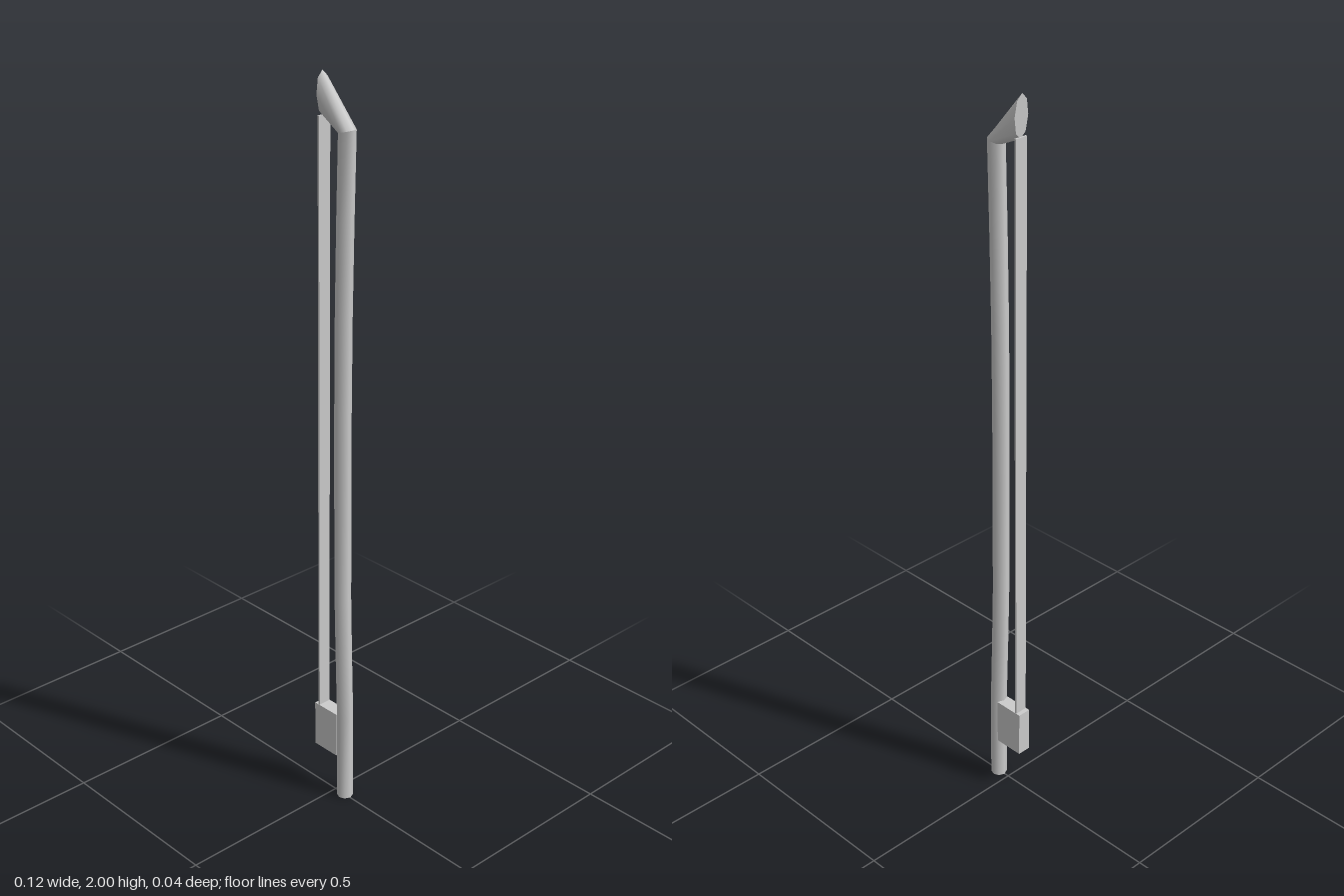
import * as THREE from 'three';

const SIDES = 8;
const RADIUS = 0.022;
const Z = -0.001;

// Lofts octagonal rings [centreX, centreY, axisX, axisY]; the axis is the ring's outward half-width in the xy plane.
function loft(rings, capStart, capEnd) {
  const pos = [], idx = [];
  const addRing = ([cx, cy, ax, ay]) => {
    const start = pos.length / 3;
    for (let i = 0; i < SIDES; i++) {
      const a = (i / SIDES) * Math.PI * 2;
      pos.push(cx + ax * Math.cos(a), cy + ay * Math.cos(a), Z + RADIUS * Math.sin(a));
    }
    return start;
  };
  const starts = rings.map(addRing);
  for (let r = 0; r < rings.length - 1; r++) {
    for (let i = 0; i < SIDES; i++) {
      const j = (i + 1) % SIDES;
      const a = starts[r] + i, b = starts[r] + j, c = starts[r + 1] + i, d = starts[r + 1] + j;
      idx.push(a, c, b, b, c, d);
    }
  }
  // Flat caps get their own vertices so the rim stays sharp
  const cap = (ring, atEnd) => {
    const s = addRing(ring), centre = pos.length / 3;
    pos.push(ring[0], ring[1], Z);
    for (let i = 0; i < SIDES; i++) {
      const a = s + i, b = s + ((i + 1) % SIDES);
      if (atEnd) idx.push(centre, b, a);
      else idx.push(centre, a, b);
    }
  };
  if (capStart) cap(rings[0], false);
  if (capEnd) cap(rings[rings.length - 1], true);
  const g = new THREE.BufferGeometry();
  g.setAttribute('position', new THREE.Float32BufferAttribute(pos, 3));
  g.setIndex(idx);
  g.computeVertexNormals();
  return g;
}

export function createModel() {
  const group = new THREE.Group();
  const material = new THREE.MeshStandardMaterial({ color: 0xcccccc });
  const add = (name, geometry) => {
    const mesh = new THREE.Mesh(geometry, material);
    mesh.name = name;
    group.add(mesh);
    return mesh;
  };

  // Gently cambered stick
  const joint = [0.038, 1.87, 0.022, 0.006];
  const stick = [
    [0.036, 0], [0.036, 0.25], [0.03, 0.45], [0.026, 0.62], [0.025, 0.9],
    [0.025, 1.15], [0.027, 1.4], [0.032, 1.65],
  ].map(([x, y]) => [x, y, RADIUS, 0]);
  add('stick', loft([...stick, joint], true, false));

  // Head sweeps sideways from the stick to a tall, pointed face
  add('head', loft([joint, [-0.0445, 1.945, -0.0025, 0.055]], false, true));

  // Frog block near the handle
  add('frog', new THREE.BoxGeometry(0.085, 0.132, 0.038)).position.set(-0.0225, 0.194, -0.002);

  // Flat hair ribbon, leaning slightly towards the head
  const bottom = new THREE.Vector2(-0.05, 0.25), top = new THREE.Vector2(-0.0435, 1.895);
  const hair = add('hair', new THREE.BoxGeometry(0.005, bottom.distanceTo(top), 0.036));
  hair.position.set((bottom.x + top.x) / 2, (bottom.y + top.y) / 2, -0.002);
  hair.rotation.z = -Math.atan2(top.x - bottom.x, top.y - bottom.y);

  return group;
}
